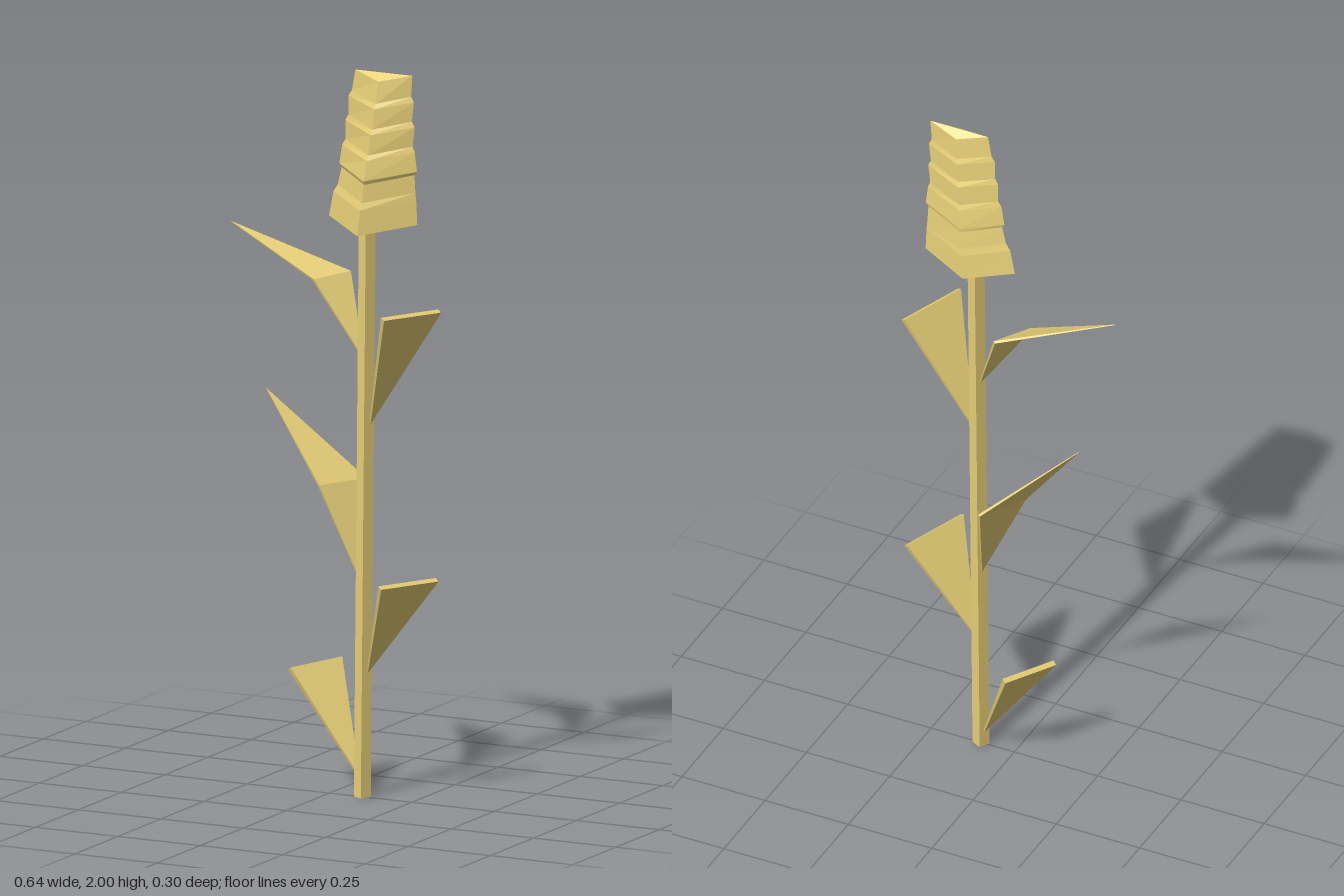
import * as THREE from 'three';

const material = new THREE.MeshStandardMaterial({
  color: 0xe8d078, flatShading: true, side: THREE.DoubleSide,
});

// Builds a faceted mesh from points and triangles
function facetedMesh(name, points, faces) {
  const geometry = new THREE.BufferGeometry();
  geometry.setAttribute('position', new THREE.Float32BufferAttribute(
    faces.flat().flatMap((i) => points[i]), 3));
  geometry.computeVertexNormals();
  const mesh = new THREE.Mesh(geometry, material);
  mesh.name = name;
  return mesh;
}

// Skins four-cornered rings (left, front, right, back) and caps both ends
function loft(name, rings) {
  const faces = [];
  for (let r = 0; r < rings.length - 1; r++) {
    for (let i = 0; i < 4; i++) {
      const a = r * 4 + i, b = r * 4 + (i + 1) % 4;
      faces.push([a, b, b + 4], [a, b + 4, a + 4]);
    }
  }
  const t = (rings.length - 1) * 4;
  faces.push([0, 2, 1], [0, 3, 2], [t, t + 1, t + 2], [t, t + 2, t + 3]);
  return facetedMesh(name, rings.flat(), faces);
}

// Thin leaf: widens from the base to two corners, optionally ending in a tip
function leaf(name, base, cornerA, cornerB, tip) {
  const v = (p) => new THREE.Vector3(...p);
  let normal = v(cornerA).sub(v(base)).cross(v(cornerB).sub(v(base))).normalize();
  let [a, b] = [cornerA, cornerB];
  if (normal.y < 0) {
    normal.negate();
    [a, b] = [b, a];
  }
  const upper = tip ? [base, a, tip, b] : [base, a, b];
  const thickness = tip ? [0.004, 0.008, 0.002, 0.008] : [0.006, 0.015, 0.015];
  const lower = upper.map((p, i) => v(p).addScaledVector(normal, -thickness[i]).toArray());
  const n = upper.length;
  const faces = tip ? [[0, 1, 3], [1, 2, 3], [4, 7, 5], [5, 7, 6]] : [[0, 1, 2], [3, 5, 4]];
  for (let i = 0; i < n; i++) {
    const j = (i + 1) % n;
    faces.push([i, i + n, j + n], [i, j + n, j]);
  }
  return facetedMesh(name, [...upper, ...lower], faces);
}

export function createModel() {
  const group = new THREE.Group();
  group.name = 'grainStalk';

  // Square stem, leaning slightly sideways
  const stemRing = (x, y) => [
    [x - 0.022, y, 0.007], [x + 0.007, y, 0.022], [x + 0.022, y, -0.007], [x - 0.007, y, -0.022],
  ];
  group.add(loft('stem', [stemRing(0.1, 0), stemRing(0.115, 1.58)]));

  // Stepped seed head: height, left x, right x, front z, back z
  const profile = [
    [1.56, -0.008, 0.26, 0.078, -0.062],
    [1.63, 0.007, 0.258, 0.074, -0.057],
    [1.65, 0.02, 0.256, 0.067, -0.053],
    [1.70, 0.033, 0.254, 0.064, -0.047],
    [1.71, 0.026, 0.262, 0.069, -0.048],
    [1.765, 0.036, 0.256, 0.06, -0.042],
    [1.78, 0.046, 0.25, 0.053, -0.037],
    [1.835, 0.047, 0.257, 0.05, -0.036],
    [1.85, 0.056, 0.249, 0.044, -0.03],
    [1.905, 0.058, 0.256, 0.042, -0.029],
    [1.92, 0.068, 0.248, 0.036, -0.024],
    [1.98, 0.08, 0.253, 0.031, -0.02],
  ];
  group.add(loft('seedHead', profile.map(([y, left, right, front, back]) => {
    const t = (y - 1.56) / 0.42;
    const x = 0.125 + 0.04 * t;
    const z = -0.013 + 0.015 * t;
    const lift = 0.027 - 0.007 * t;
    return [[left, y + lift, z], [x, y, front], [right, y + lift, z], [x, y, back]];
  })));

  // Two matching leaves on one side
  [[0, 0.345, 0.62], [0.008, 1.03, 1.36]].forEach(([dx, y0, y1], i) => {
    group.add(leaf(`leftLeaf${i + 1}`,
      [0.113 + dx, y0, 0], [0.225 + dx, y1, 0.147], [0.3 + dx, y1 - 0.006, -0.043]));
  });

  // Three leaves on the other side, the upper two folding out to a point
  group.add(leaf('lowerRightLeaf', [0.088, 0.05, -0.01], [-0.115, 0.335, 0.005], [-0.037, 0.345, -0.145]));
  group.add(leaf('middleRightLeaf',
    [0.09, 0.58, -0.018], [-0.028, 0.845, 0.004], [0.046, 0.848, -0.126], [-0.215, 1.085, -0.045]));
  group.add(leaf('upperRightLeaf',
    [0.096, 1.2, -0.018], [-0.046, 1.41, 0.003], [0.01, 1.418, -0.106], [-0.32, 1.535, -0.04]));

  return group;
}
